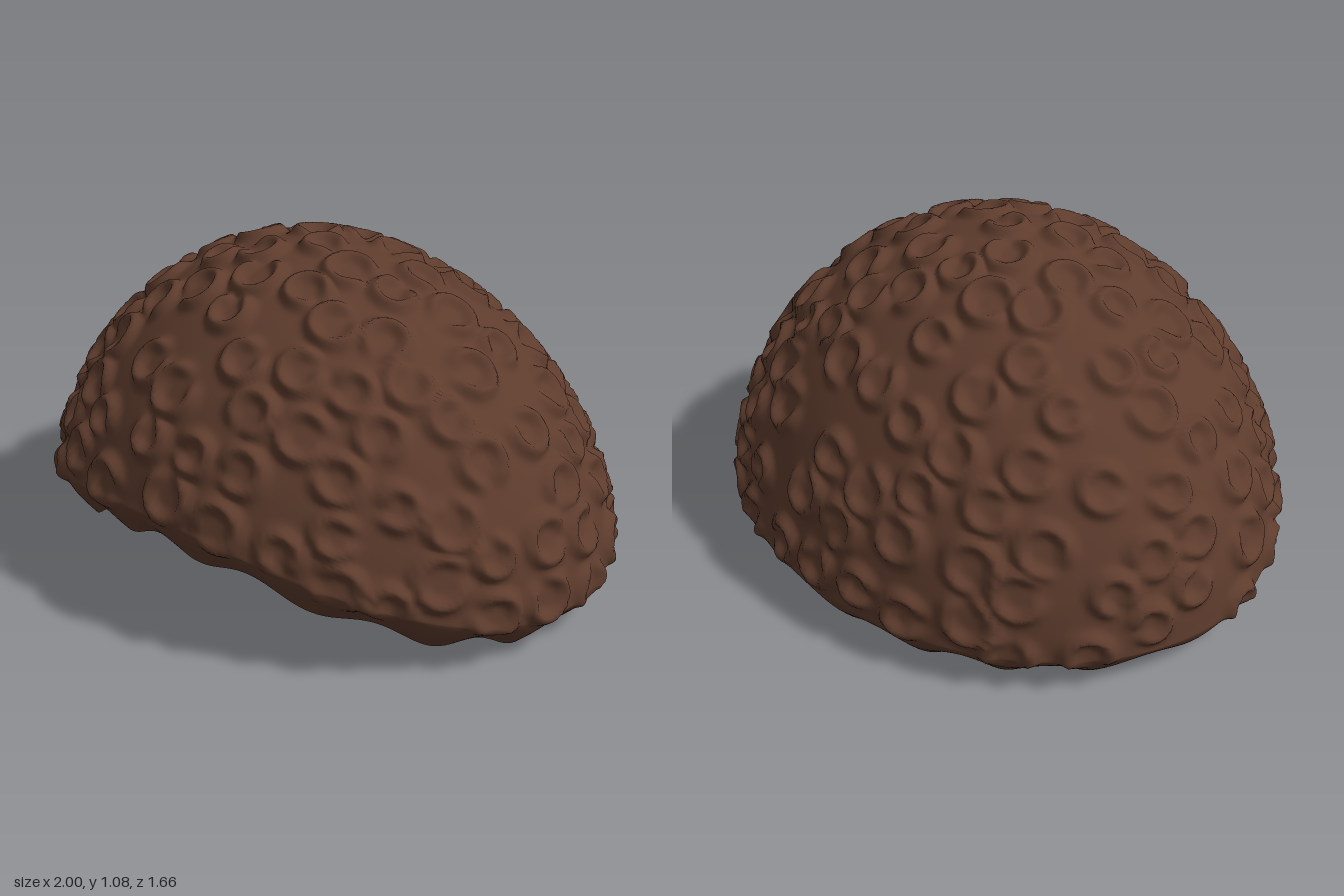
import * as THREE from 'three';

const COLS = 280, OUTER = 125, RIM = 18;
const ROWS = OUTER + RIM;
const BASE = 0.12, TOP = 1.07, POWER = 1.85;

function seeded(seed) {
  return () => (seed = (seed * 16807) % 2147483647) / 2147483647;
}

// Cross-section: down the dome to its widest line, then tucked in to the edge.
// The lower edge is scalloped and rises in an arch over the forehead.
function section(row, phi) {
  const front = Math.max(0, Math.sin(phi));
  const arch = Math.pow(front, 2.3);
  const low = 0.03 + 0.265 * arch + 0.019 * Math.sin(17 * phi + Math.sin(3 * phi));
  const wide = BASE + 0.01 + 0.285 * arch;
  const endLean = (wide - BASE) / (TOP - BASE);
  const endAngle = Math.acos(Math.pow(endLean, POWER / 2));
  const a = Math.min(1, row / OUTER) * endAngle;
  const t = Math.max(0, (row - OUTER) / RIM);
  const lean = Math.pow(Math.cos(a), 2 / POWER);
  const r = Math.pow(Math.sin(a), 2 / POWER) * (1 - 0.1 * Math.pow(t, 1.3));
  const y = BASE + (TOP - BASE) * lean + (low - wide) * t;
  const depth = 0.81 + 0.05 * front * front;
  return [0.985 * r * Math.cos(phi), y, depth * r * Math.sin(phi) + 0.05 * lean];
}

// Thin open shell
function shellGeometry() {
  const pos = [], idx = [];
  for (let i = 0; i <= ROWS; i++) {
    for (let j = 0; j < COLS; j++) {
      pos.push(...section(i, (j / COLS) * Math.PI * 2));
      if (i === ROWS) continue;
      const k = (j + 1) % COLS;
      const a = i * COLS + j, b = i * COLS + k, c = a + COLS, d = b + COLS;
      if (i === 0) idx.push(a, d, c);
      else idx.push(a, b, c, b, d, c);
    }
  }
  const g = new THREE.BufferGeometry();
  g.setAttribute('position', new THREE.Float32BufferAttribute(pos, 3));
  g.setIndex(idx);
  return g;
}

function smoothNormals(g) {
  g.computeVertexNormals();
  for (let j = 0; j < COLS; j++) g.attributes.normal.setXYZ(j, 0, 1, 0);
}

// Scatter curl centres evenly over the dome
function scatterCurls(g) {
  const rand = seeded(4177), curls = [];
  const { position, normal } = g.attributes;
  for (let n = 0; n < 9000; n++) {
    const i = Math.floor(rand() * OUTER * COLS);
    const p = new THREE.Vector3().fromBufferAttribute(position, i);
    const nor = new THREE.Vector3().fromBufferAttribute(normal, i);
    const turn = rand() * Math.PI * 2, radius = 0.052 + rand() * 0.02;
    if (curls.some(c => c.p.distanceTo(p) < 0.152)) continue;
    const u = new THREE.Vector3(0.31, 0.2, 0.93).cross(nor).normalize().applyAxisAngle(nor, turn);
    curls.push({ p, radius, u, v: nor.clone().cross(u) });
  }
  return curls;
}

// Raise an open ring with a hollow centre at every curl, fading out on the rim
function addCurls(g) {
  smoothNormals(g);
  const curls = scatterCurls(g);
  const { position, normal } = g.attributes;
  const p = new THREE.Vector3(), n = new THREE.Vector3(), d = new THREE.Vector3();
  for (let i = 0; i < position.count; i++) {
    p.fromBufferAttribute(position, i);
    n.fromBufferAttribute(normal, i);
    const fade = 1 - THREE.MathUtils.smoothstep(Math.floor(i / COLS), OUTER - 4, OUTER + 10);
    let height = 0;
    for (const c of curls) {
      d.subVectors(p, c.p);
      const dist = d.length();
      if (dist > 0.15) continue;
      const angle = Math.atan2(d.dot(c.v), d.dot(c.u));
      const gap = 1 - 0.95 * Math.exp(-Math.pow(angle / 0.6, 2));
      height = Math.max(height, gap * Math.exp(-Math.pow((dist - c.radius) / 0.021, 2)));
    }
    p.addScaledVector(n, (0.03 * height - 0.01) * fade);
    position.setXYZ(i, p.x, p.y, p.z);
  }
}

export function createModel() {
  const darkBrown = new THREE.MeshStandardMaterial({ color: 0x5e3c2d, side: THREE.DoubleSide });
  darkBrown.name = 'darkBrown';

  const g = shellGeometry();
  addCurls(g);

  // Stand on the ground, centred
  g.computeBoundingBox();
  const { min, max } = g.boundingBox;
  g.translate(-(min.x + max.x) / 2, -min.y, -(min.z + max.z) / 2);
  smoothNormals(g);

  const hair = new THREE.Mesh(g, darkBrown);
  hair.name = 'curlyHair';
  const group = new THREE.Group();
  group.name = 'curlyHairCap';
  group.add(hair);
  return group;
}
